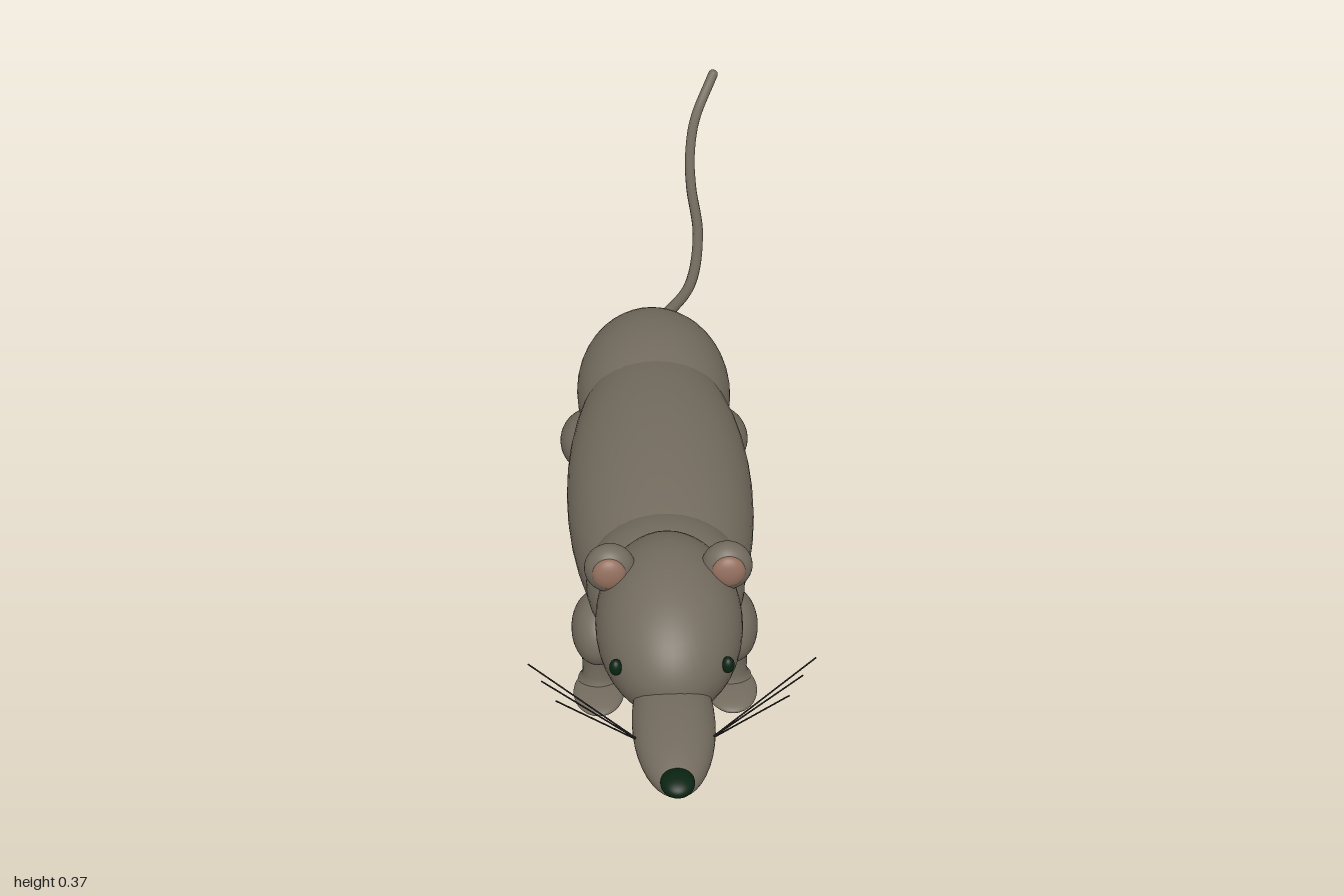
import * as THREE from 'three';

const material = (name, color) => {
  const m = new THREE.MeshStandardMaterial({ color });
  m.name = name;
  return m;
};

export function createModel() {
  const group = new THREE.Group();
  const fur = material('furGrey', 0x736b5e);
  const pink = material('earPink', 0x94705f);
  const dark = material('darkGreen', 0x0a2412);
  const black = material('whiskerBlack', 0x24221f);

  const add = (name, geometry, mat) => {
    const mesh = new THREE.Mesh(geometry, mat);
    mesh.name = name;
    group.add(mesh);
    return mesh;
  };

  // Smooth ellipsoid from a centre and three radii
  const blob = (name, centre, radii, mat = fur, tilt = 0) => {
    const mesh = add(name, new THREE.SphereGeometry(1, 40, 28), mat);
    mesh.position.set(...centre);
    mesh.scale.set(...radii);
    mesh.rotation.x = tilt;
    return mesh;
  };

  // Body, head and snout
  blob('rump', [0, 0.182, 0.035], [0.125, 0.104, 0.19]);
  blob('torso', [0, 0.192, 0.32], [0.143, 0.114, 0.37]);
  blob('neck', [0, 0.213, 0.55], [0.116, 0.09, 0.13]);
  blob('head', [0, 0.25, 0.68], [0.104, 0.102, 0.15], fur, 0.12);
  blob('snout', [0, 0.214, 0.845], [0.057, 0.039, 0.14], fur, -0.03);
  blob('nose', [0, 0.23, 0.974], [0.023, 0.014, 0.025], dark);

  // Lower leg flaring into the paw
  const shin = new THREE.LatheGeometry([
    [0.031, 0.016], [0.026, 0.023], [0.0235, 0.034], [0.024, 0.06], [0.029, 0.09],
  ].map(([r, y]) => new THREE.Vector2(r, y)), 28);

  for (const s of [1, -1]) {
    const side = s > 0 ? 'left' : 'right';

    // Ears and eyes
    blob(side + 'Ear', [s * 0.082, 0.328, 0.65], [0.036, 0.038, 0.028]);
    blob(side + 'InnerEar', [s * 0.083, 0.332, 0.668], [0.024, 0.026, 0.014], pink);
    blob(side + 'Eye', [s * 0.077, 0.262, 0.783], [0.009, 0.013, 0.009], dark);

    // Legs
    blob(side + 'FrontThigh', [s * 0.1, 0.108, 0.527], [0.039, 0.053, 0.06]);
    blob(side + 'HindThigh', [s * 0.1, 0.104, 0.062], [0.054, 0.051, 0.075], fur, -0.3);
    for (const [part, z, pawZ] of [['Front', 0.538, 0.563], ['Hind', 0.012, 0.037]]) {
      const leg = add(side + part + 'Shin', shin, fur);
      leg.position.set(s * 0.1, 0, z);
      blob(side + part + 'Paw', [s * 0.1, 0.011, pawZ], [0.038, 0.011, 0.052]);
    }

    // Whiskers
    for (const [x, y, z] of [[0.197, 0.278, 0.79], [0.179, 0.255, 0.8], [0.16, 0.232, 0.815]]) {
      const path = new THREE.LineCurve3(
        new THREE.Vector3(s * 0.045, 0.222, 0.888), new THREE.Vector3(s * x, y, z));
      add(side + 'Whisker', new THREE.TubeGeometry(path, 1, 0.0011, 6), black);
    }
  }

  // Tail with a rounded tip
  const tailPath = new THREE.CatmullRomCurve3([
    [0, 0.19, -0.12], [0.02, 0.182, -0.17], [0.073, 0.16, -0.3], [0.099, 0.14, -0.5],
    [0.096, 0.123, -0.7], [0.099, 0.127, -0.81], [0.115, 0.146, -0.92], [0.152, 0.2, -0.992],
  ].map((p) => new THREE.Vector3(...p)));
  add('tail', new THREE.TubeGeometry(tailPath, 80, 0.0095, 14), fur);
  blob('tailTip', [0.152, 0.2, -0.992], [0.0095, 0.0095, 0.0095]);

  return group;
}
